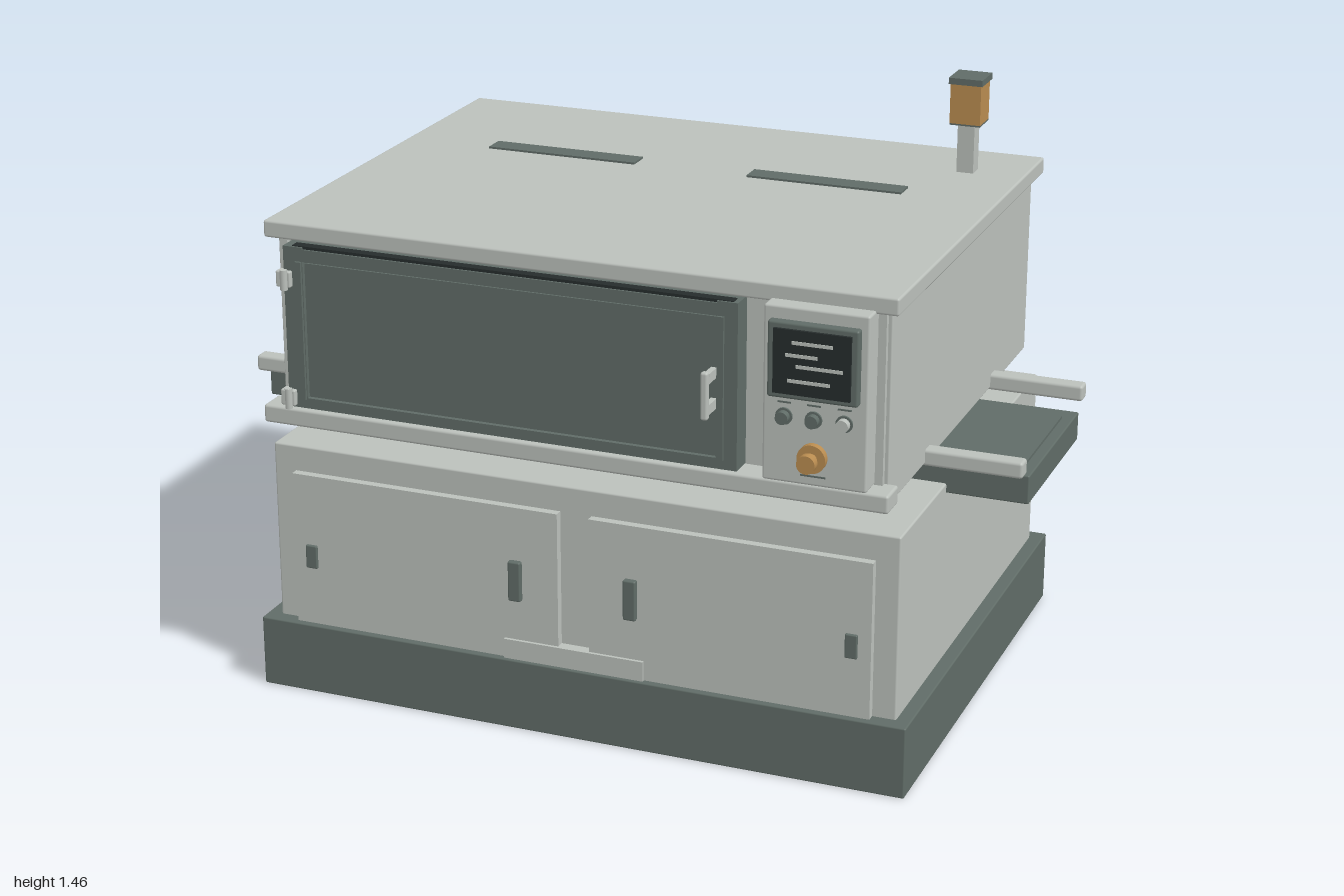
import * as THREE from 'three';
import { RoundedBoxGeometry } from 'three/addons/geometries/RoundedBoxGeometry.js';

const paint = (name, color) => {
  const m = new THREE.MeshStandardMaterial({ color });
  m.name = name;
  return m;
};

export function createModel() {
  const steel = paint('pale steel', 0xbbc0bb);
  const dark = paint('dark grey green', 0x606c67);
  const black = paint('near black', 0x262c2c);
  const brass = paint('brass', 0xb98c50);
  const model = new THREE.Group();
  model.name = 'oven';

  const add = (name, geometry, material, x, y, z, parent = model) => {
    const mesh = new THREE.Mesh(geometry, material);
    mesh.name = name;
    mesh.position.set(x, y, z);
    parent.add(mesh);
    return mesh;
  };
  // Box given by its limits along each axis, with an optional edge radius
  const box = (name, material, [x0, x1], [y0, y1], [z0, z1], parent = model, r = 0) => {
    const s = [x1 - x0, y1 - y0, z1 - z0];
    const g = r ? new RoundedBoxGeometry(...s, 2, r) : new THREE.BoxGeometry(...s);
    return add(name, g, material, (x0 + x1) / 2, (y0 + y1) / 2, (z0 + z1) / 2, parent);
  };
  // Round part facing the front
  const disc = (name, material, x, y, [z0, z1], r, parent = model) => {
    const g = new THREE.CylinderGeometry(r, r, z1 - z0, 24).rotateX(Math.PI / 2);
    return add(name, g, material, x, y, (z0 + z1) / 2, parent);
  };
  const group = (name) => {
    const g = new THREE.Group();
    g.name = name;
    model.add(g);
    return g;
  };

  // Plinth and lower cabinet
  box('plinth', dark, [-0.835, 0.835], [0, 0.18], [-0.657, 0.578], model, 0.004);
  box('lowerCabinet', steel, [-0.8, 0.8], [0.175, 0.637], [-0.62, 0.541], model, 0.005);
  for (const s of [-1, 1]) {
    const door = group(s < 0 ? 'rightCabinetDoor' : 'leftCabinetDoor');
    const span = (a, b) => (s < 0 ? [-b, -a] : [a, b]);
    box('doorPanel', steel, span(0.04, 0.742), [0.18, 0.572], [0.535, 0.562], door);
    box('doorPull', dark, span(0.132, 0.164), [0.335, 0.437], [0.56, 0.577], door, 0.004);
    box('doorLatch', dark, span(0.68, 0.71), [0.33, 0.39], [0.56, 0.57], door, 0.003);
  }
  box('toePlate', steel, [-0.18, 0.18], [0.18, 0.23], [0.535, 0.57]);

  // Side shelf running through the gap, with its rails
  box('shelfTray', dark, [-1, 1], [0.613, 0.685], [-0.265, 0.19], model, 0.004);
  box('shelfInlay', dark, [-0.973, 0.973], [0.683, 0.692], [-0.205, 0.125]);
  for (const z of [-0.315, 0.235])
    box('shelfRail', steel, [-1, 1], [0.7, 0.741], [z - 0.021, z + 0.021], model, 0.008);

  // Upper oven body and lid
  box('ovenBody', steel, [-0.765, 0.765], [0.706, 1.172], [-0.614, 0.536], model, 0.004);
  box('lid', steel, [-0.788, 0.788], [1.17, 1.212], [-0.643, 0.567], model, 0.006);
  for (const s of [-1, 1])
    box('lidVent', dark, [s * 0.35 - 0.2, s * 0.35 + 0.2], [1.208, 1.217], [-0.252, -0.194]);
  box('frontLedge', steel, [-0.787, 0.787], [0.715, 0.76], [0.53, 0.606], model, 0.007);
  for (const s of [-1, 1])
    box('frontPost', steel, [s * 0.745 - 0.01, s * 0.745 + 0.01], [0.76, 1.17], [0.53, 0.55]);

  // Chimney
  const chimney = group('chimney');
  box('flue', steel, [0.619, 0.662], [1.205, 1.34], [-0.475, -0.432], chimney);
  box('flueHead', brass, [0.602, 0.68], [1.34, 1.44], [-0.492, -0.415], chimney);
  box('flueFoot', dark, [0.602, 0.68], [1.336, 1.34], [-0.492, -0.415], chimney);
  box('flueCap', dark, [0.598, 0.684], [1.44, 1.456], [-0.498, -0.411], chimney);

  // Oven door with raised edges
  const door = group('ovenDoor');
  box('doorSlab', dark, [-0.722, 0.422], [0.762, 1.165], [0.535, 0.583], door);
  box('doorWindow', dark, [-0.67, 0.37], [0.79, 1.125], [0.58, 0.588], door);
  for (const x of [-0.697, 0.397])
    box('doorStile', dark, [x - 0.025, x + 0.025], [0.762, 1.165], [0.58, 0.595], door);
  for (const x of [-0.682, 0.382])
    box('doorBead', dark, [x - 0.008, x + 0.008], [0.785, 1.13], [0.59, 0.602], door);
  box('topRail', dark, [-0.7, 0.4], [1.13, 1.16], [0.58, 0.595], door);
  box('bottomRail', dark, [-0.7, 0.4], [0.762, 0.788], [0.58, 0.595], door);
  box('topSeal', black, [-0.7, 0.41], [1.16, 1.167], [0.565, 0.59], door);
  for (const y of [0.787, 1.085]) {
    box('hingeLeaf', steel, [-0.738, -0.7], [y - 0.02, y + 0.02], [0.58, 0.608], door, 0.004);
    add('hingePin', new THREE.CylinderGeometry(0.009, 0.009, 0.05, 12), steel, -0.715, y, 0.61, door);
  }
  box('handleBar', steel, [0.354, 0.372], [0.897, 1.012], [0.636, 0.654], door, 0.006);
  for (const y of [0.918, 0.992])
    box('handleMount', steel, [0.356, 0.37], [y - 0.012, y + 0.012], [0.585, 0.64], door);

  // Control panel
  const panel = group('controlPanel');
  box('panelPlate', steel, [0.488, 0.736], [0.76, 1.178], [0.53, 0.61], panel, 0.006);
  box('screenBezel', dark, [0.504, 0.718], [0.968, 1.148], [0.605, 0.63], panel, 0.006);
  box('screen', black, [0.52, 0.702], [0.982, 1.134], [0.628, 0.637], panel);
  const bars = [[0.565, 0.66, 1.105], [0.55, 0.625, 1.075], [0.575, 0.685, 1.05], [0.555, 0.655, 1.015]];
  for (const [a, b, y] of bars)
    box('screenBar', steel, [a, b], [y - 0.004, y + 0.004], [0.636, 0.639], panel);
  [0.54, 0.61, 0.682].forEach((x, i) => {
    box('buttonMark', dark, [x - 0.016, x + 0.016], [0.951, 0.955], [0.609, 0.612], panel);
    disc('buttonRing', dark, x, 0.92, [0.605, 0.615], 0.02, panel);
    disc('button', i < 2 ? dark : steel, x, 0.92, [0.61, 0.632], 0.015, panel);
  });
  disc('knobFlange', brass, 0.61, 0.83, [0.605, 0.627], 0.034, panel);
  disc('knobStem', brass, 0.61, 0.83, [0.62, 0.65], 0.015, panel);
  disc('knobGrip', brass, 0.61, 0.83, [0.644, 0.664], 0.022, panel);
  box('knobMark', dark, [0.58, 0.64], [0.782, 0.786], [0.609, 0.612], panel);

  return model;
}
